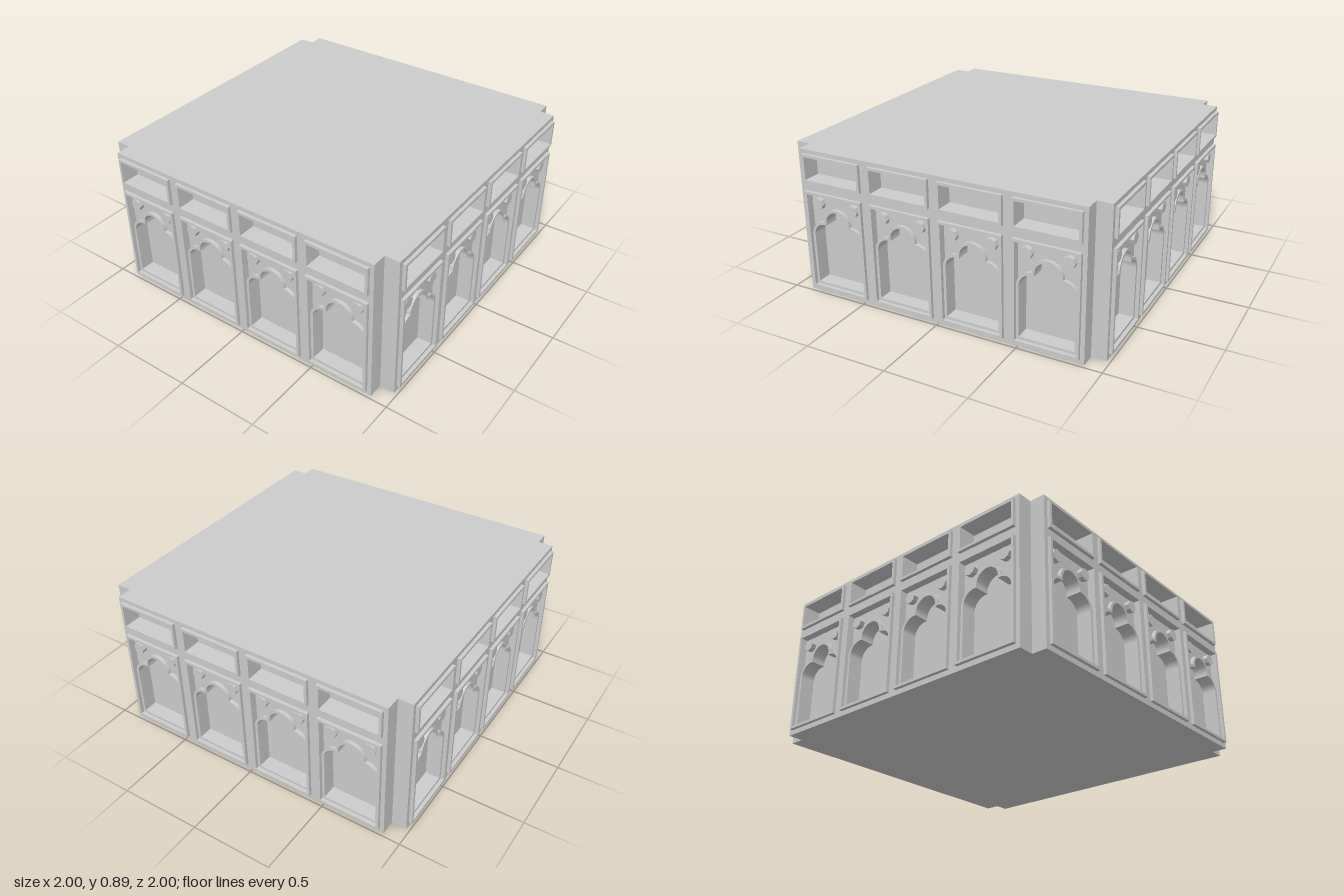
import * as THREE from 'three';

const H = 0.895;       // height of the block
const CORE = 0.89;     // back plane of the niches
const FACE = 0.98;     // wall surface
const COLUMNS = [-0.67, -0.223, 0.223, 0.67];
const HALF = 0.195;    // half width of a raised frame
const RIM = 0.016;     // width of frames and mouldings
const LOWER = [0.03, 0.645];
const UPPER = [0.70, 0.87];

const material = new THREE.MeshStandardMaterial({ color: 0xcccccc, flatShading: true });

function add(parent, name, geometry) {
  const mesh = new THREE.Mesh(geometry, material);
  mesh.name = name;
  parent.add(mesh);
  return mesh;
}

// Rectangle outline centred on cx, shrunk by inset
function rect(cx, half, [y0, y1], inset = 0, Type = THREE.Shape) {
  const p = new Type();
  const w = half - inset, a = y0 + inset, b = y1 - inset;
  p.moveTo(cx - w, a);
  p.lineTo(cx + w, a);
  p.lineTo(cx + w, b);
  p.lineTo(cx - w, b);
  p.closePath();
  return p;
}

// Three-lobed arch outline, shrunk by inset
function arch(cx, inset, Type = THREE.Shape) {
  const p = new Type();
  const r = 0.09 - inset, w = 0.179 - inset, base = 0.046 + inset;
  p.moveTo(cx - w, base);
  p.lineTo(cx + w, base);
  p.lineTo(cx + w, 0.37);
  p.absarc(cx + w - r, 0.37, r, 0, Math.PI / 2, false);
  p.lineTo(cx + r, 0.37 + r);
  p.absarc(cx, 0.46, r, 0, Math.PI, false);
  p.lineTo(cx - r, 0.37 + r);
  p.absarc(cx - w + r, 0.37, r, Math.PI / 2, Math.PI, false);
  p.closePath();
  return p;
}

// Extrude a shape with holes from depth z0 to z1
function slab(shape, holes, z0, z1) {
  shape.holes.push(...holes);
  const g = new THREE.ExtrudeGeometry(shape, { depth: z1 - z0, bevelEnabled: false, curveSegments: 8 });
  return g.translate(0, 0, z0);
}

function createWall() {
  const wall = new THREE.Group();

  // Wall slab pierced by all panels
  const holes = COLUMNS.flatMap((x) => [LOWER, UPPER].map((s) => rect(x, HALF, s, RIM, THREE.Path)));
  add(wall, 'wallSlab', slab(rect(0, CORE, [0, H]), holes, CORE, FACE));

  for (const x of COLUMNS) {
    // Raised frames
    for (const [name, span] of [['lowerFrame', LOWER], ['upperFrame', UPPER]]) {
      add(wall, name, slab(rect(x, HALF, span), [rect(x, HALF, span, RIM, THREE.Path)], FACE, 1));
    }
    // Recessed plate around the arch, and the arch moulding
    add(wall, 'spandrel', slab(rect(x, HALF, LOWER, RIM), [arch(x, RIM, THREE.Path)], CORE, 0.955));
    add(wall, 'archMoulding', slab(arch(x, 0), [arch(x, RIM, THREE.Path)], 0.95, 0.978));
    // Round bosses above the arch
    for (const side of [-1, 1]) {
      const boss = add(wall, 'boss', new THREE.CylinderGeometry(0.036, 0.036, 0.04, 8));
      boss.rotation.x = Math.PI / 2;
      boss.position.set(x + side * 0.12, 0.57, 0.965);
    }
  }
  return wall;
}

export function createModel() {
  const model = new THREE.Group();
  model.name = 'arcadedBlock';

  const core = add(model, 'core', new THREE.BoxGeometry(2 * CORE, H, 2 * CORE));
  core.position.y = H / 2;

  // Same wall on all four sides
  ['frontWall', 'leftWall', 'backWall', 'rightWall'].forEach((name, i) => {
    const wall = createWall();
    wall.name = name;
    wall.rotation.y = i * Math.PI / 2;
    model.add(wall);
  });
  return model;
}
